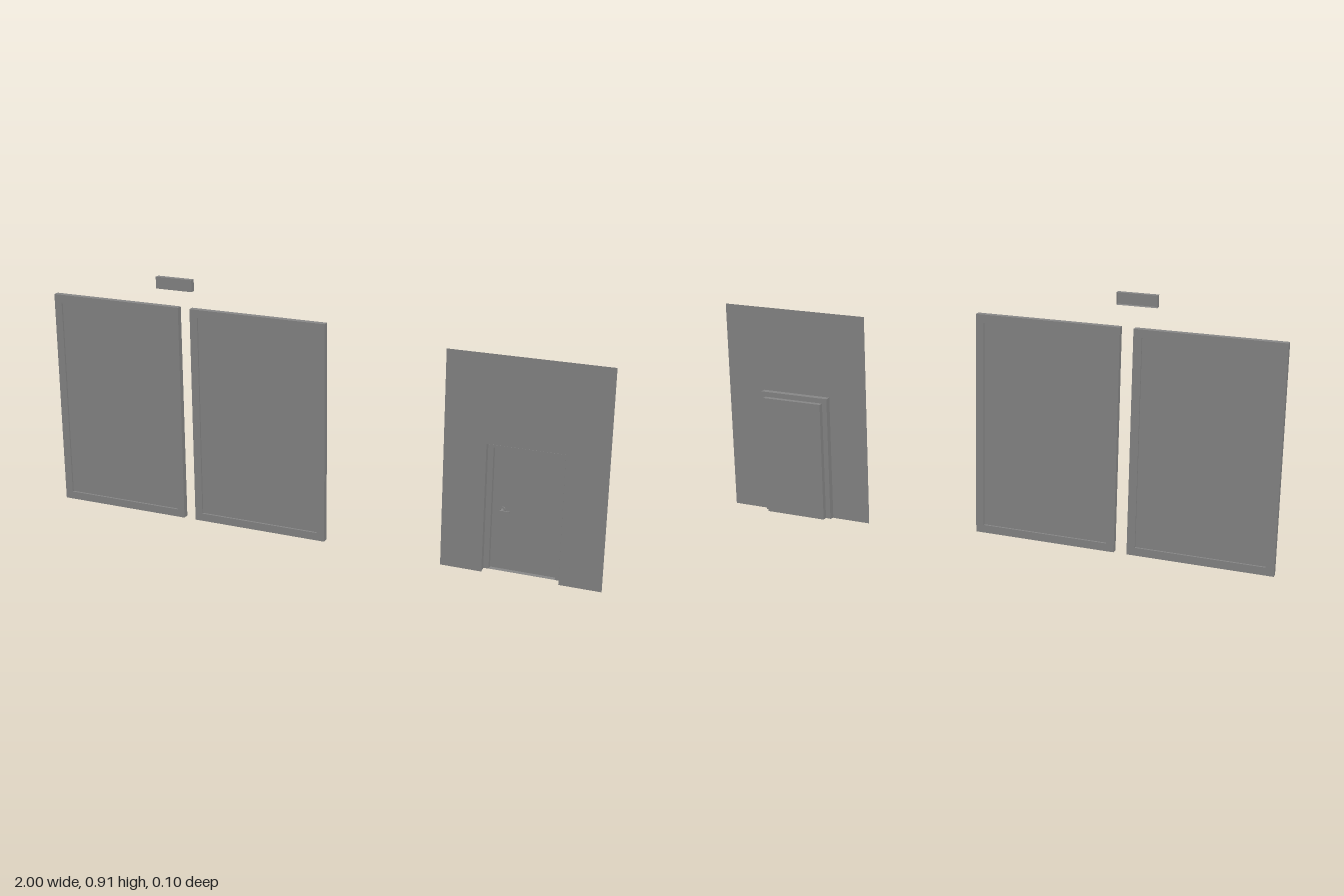
import * as THREE from 'three';

const color = 0x888888;
const solid = new THREE.MeshStandardMaterial({ color });
const thin = new THREE.MeshStandardMaterial({ color, side: THREE.DoubleSide });

function add(parent, name, geometry, material = solid, x = 0, y = 0, z = 0) {
  const mesh = new THREE.Mesh(geometry, material);
  mesh.name = name;
  mesh.position.set(x, y, z);
  parent.add(mesh);
  return mesh;
}

// Corners of a rectangle, counter-clockwise seen from the front
const corners = ([x0, x1, y0, y1, z]) => [[x0, y0, z], [x1, y0, z], [x1, y1, z], [x0, y1, z]];

// Shell through rectangular loops [x0, x1, y0, y1, z]: a box closed at its last loop,
// or with closed = false only its two sides and its top
function rectShell(loops, closed = true) {
  const pos = [];
  const quad = (a, b, c, d) => pos.push(...a, ...b, ...c, ...a, ...c, ...d);
  const rings = loops.map(corners);
  for (let i = 0; i < rings.length - 1; i++) {
    for (let k = closed ? 0 : 1; k < 4; k++) {
      const n = (k + 1) % 4;
      quad(rings[i][k], rings[i][n], rings[i + 1][n], rings[i + 1][k]);
    }
  }
  if (closed) quad(...rings[rings.length - 1]);
  const geo = new THREE.BufferGeometry();
  geo.setAttribute('position', new THREE.Float32BufferAttribute(pos, 3));
  geo.computeVertexNormals();
  return geo;
}

// Framed window: raised border with a shallowly recessed pane
function makeWindow(name, x0, x1) {
  const group = new THREE.Group();
  group.name = name;
  const y0 = 0.027, y1 = 0.805, border = 0.028, z0 = 0.005, depth = 0.022;
  const rect = (a, b, c, d) => [[a, c], [b, c], [b, d], [a, d]].map(p => new THREE.Vector2(...p));
  const shape = new THREE.Shape(rect(x0, x1, y0, y1));
  shape.holes.push(new THREE.Path(rect(x0 + border, x1 - border, y0 + border, y1 - border)));
  add(group, 'windowFrame', new THREE.ExtrudeGeometry(shape, { depth, bevelEnabled: false }), solid, 0, 0, z0);
  add(group, 'windowPane',
    new THREE.BoxGeometry(x1 - x0 - 2 * border, y1 - y0 - 2 * border, 0.008),
    solid, (x0 + x1) / 2, (y0 + y1) / 2, z0 + depth / 2);
  return group;
}

export function createModel() {
  const model = new THREE.Group();
  model.name = 'storefrontParts';

  // Pair of windows
  model.add(makeWindow('rightWindow', -1, -0.505), makeWindow('leftWindow', -0.46, 0.04));

  // Small lamp box, open at the back
  add(model, 'lampBox', rectShell([
    [-0.573, -0.437, 0.872, 0.913, 0.033],
    [-0.573, -0.437, 0.872, 0.913, 0.051],
  ]), thin);

  // Thin wall sheet with a doorway notch
  const wall = new THREE.Shape([
    [0.45, 0], [0.595, 0], [0.595, 0.455], [0.857, 0.455],
    [0.857, 0], [1, 0], [1, 0.76], [0.45, 0.76],
  ].map(p => new THREE.Vector2(...p)));
  add(model, 'wall', new THREE.ShapeGeometry(wall), thin, 0, 0, -0.009);

  // Stepped door jamb without a floor, then the boxed door behind it
  const inner = [0.613, 0.84, 0.005, 0.437];
  add(model, 'doorJamb', rectShell([
    [0.595, 0.857, 0.001, 0.455, -0.008],
    [0.595, 0.857, 0.004, 0.455, -0.031],
    [...inner, -0.031],
  ], false), thin);
  add(model, 'door', rectShell([[...inner, -0.031], [...inner, -0.049]]), thin);

  // Lever handle on a flat round rose
  const handle = new THREE.Group();
  handle.name = 'doorHandle';
  handle.position.set(0.647, 0.218, -0.049);
  model.add(handle);
  const rose = add(handle, 'handleRose', new THREE.CylinderGeometry(0.011, 0.011, 0.003, 20), solid, 0, 0, 0.0025);
  const spindle = add(handle, 'handleSpindle', new THREE.CylinderGeometry(0.005, 0.005, 0.018, 12), solid, 0, 0, 0.012);
  for (const part of [rose, spindle]) part.rotation.x = Math.PI / 2;
  add(handle, 'handleLever', new THREE.BoxGeometry(0.034, 0.006, 0.005), solid, 0.012, 0.001, 0.021);

  return model;
}
